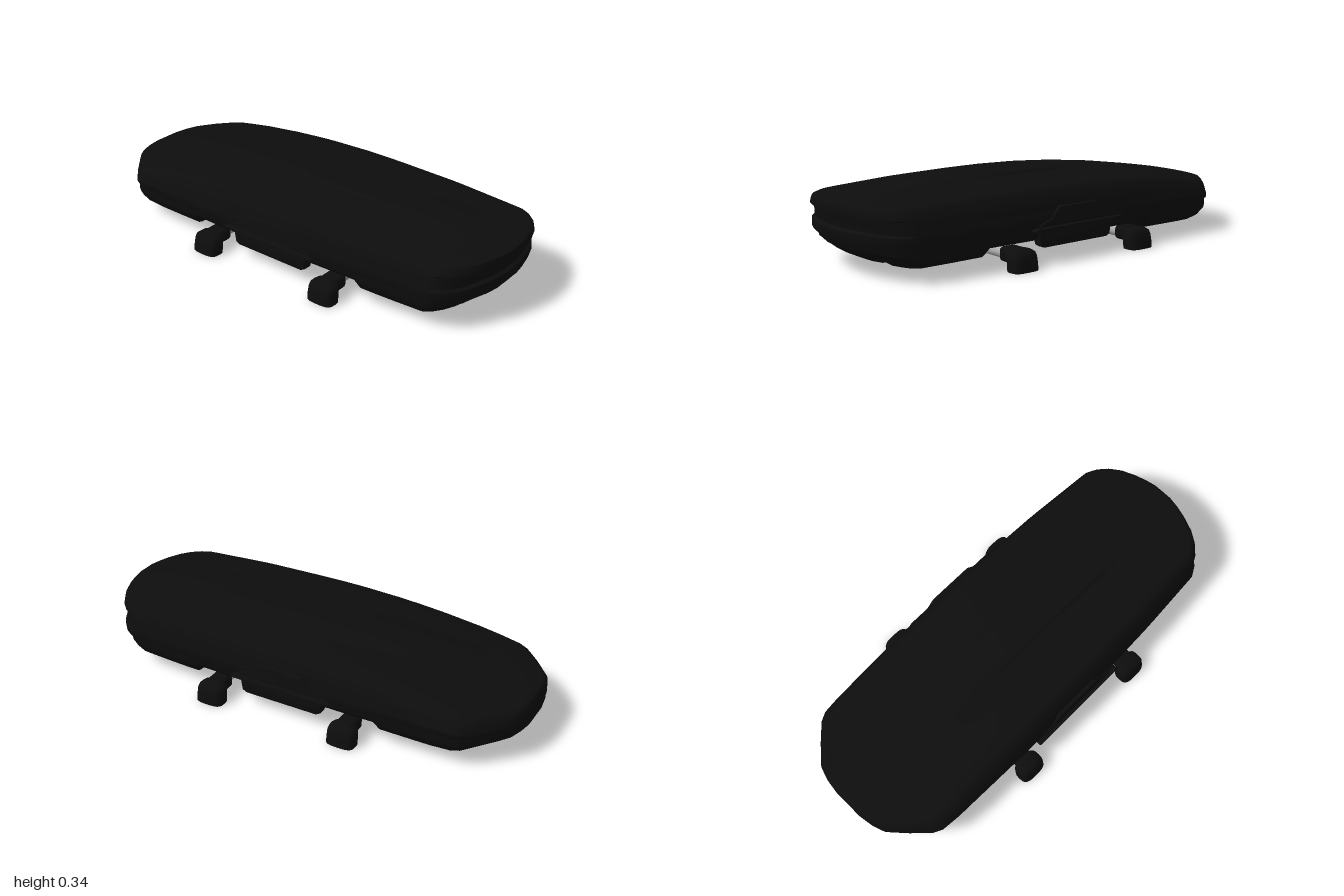
import * as THREE from 'three';
import { toCreasedNormals } from 'three/addons/utils/BufferGeometryUtils.js';
import { RoundedBoxGeometry } from 'three/addons/geometries/RoundedBoxGeometry.js';

// Linear interpolation through [x, value] pairs
function table(pts) {
  return (x) => {
    if (x <= pts[0][0]) return pts[0][1];
    for (let i = 1; i < pts.length; i++) {
      const [x0, a] = pts[i - 1], [x1, b] = pts[i];
      if (x <= x1) return a + (b - a) * (x - x0) / (x1 - x0);
    }
    return pts[pts.length - 1][1];
  };
}

const SEAM = 0.15;
const halfWidth = table([[-1, 0.07], [-0.99, 0.14], [-0.97, 0.2], [-0.9, 0.28], [-0.83, 0.35], [-0.79, 0.37],
  [-0.7, 0.378], [-0.3, 0.388], [0.1, 0.388], [0.5, 0.374], [0.84, 0.352], [0.88, 0.33], [0.92, 0.29],
  [0.95, 0.24], [0.975, 0.17], [0.99, 0.11], [1, 0.05]]);
const topHeight = table([[-1, 0.218], [-0.9, 0.24], [-0.8, 0.257], [-0.6, 0.288], [-0.4, 0.31], [-0.2, 0.324],
  [0, 0.331], [0.2, 0.332], [0.5, 0.329], [0.8, 0.317], [1, 0.306]]);
const ridgeFade = table([[-0.75, 0], [-0.2, 0.006], [-0.12, 0.011], [0.5, 0.01], [0.88, 0]]);
const floorHeight = table([[-1, 0.075], [-0.92, 0.065], [-0.8, 0.048], [-0.45, 0.054], [-0.42, 0.087],
  [0.45, 0.087], [0.48, 0.054], [0.8, 0.048], [0.9, 0.06]]);
const groove = table([[0.03, 0.016], [0.045, 0], [0.12, 0], [0.135, 0.009], [0.19, 0.009], [0.205, 0]]);

const topAt = (x, z) => topHeight(x) - 0.02 * (z / 0.33) ** 2 + (Math.abs(z) < 0.08 ? ridgeFade(x) : 0);
const floorAt = (x, z) => floorHeight(x) + groove(Math.abs(z)) * (x > -0.45 && x < 0.48 ? 0.4 : 1);

// Stations along the length, packed closer at the ends and at the floor steps
const stations = [-1, -0.99, -0.97, -0.935, -0.9, -0.865, -0.83, -0.81, -0.79, -0.75, -0.7, -0.6, -0.5, -0.45, -0.42,
  -0.3, -0.2, -0.12, 0, 0.1, 0.2, 0.3, 0.4, 0.45, 0.48, 0.55, 0.65, 0.75, 0.8, 0.84, 0.86, 0.88, 0.9, 0.92, 0.935,
  0.95, 0.965, 0.975, 0.985, 0.99, 1];

// Stack closed plan outlines; ring = { w: width scale, z: width limit, front, rear: end positions, y(x, z) }
function shell(rings) {
  const pos = [], idx = [], n = stations.length * 2;
  for (const r of rings) {
    for (let k = 0; k < n; k++) {
      const side = k < n / 2 ? 1 : -1;
      const s = stations[side > 0 ? k : n - 1 - k];
      const end = s < 0 ? r.front : r.rear;
      const x = Math.abs(s) < 0.6 ? s : Math.sign(s) * (0.6 + (Math.abs(s) - 0.6) * (end - 0.6) / 0.4);
      const z = side * Math.min(halfWidth(s) * r.w, r.z ?? 1);
      pos.push(x, r.y(x, z), z);
    }
  }
  for (let r = 0; r < rings.length - 1; r++) {
    for (let k = 0; k < n; k++) {
      const a = r * n + k, b = r * n + (k + 1) % n;
      idx.push(a, b, b + n, a, b + n, a + n);
    }
  }
  const g = new THREE.BufferGeometry();
  g.setAttribute('position', new THREE.Float32BufferAttribute(pos, 3));
  g.setIndex(idx);
  return toCreasedNormals(g, 0.5);
}

function baseGeometry() {
  const rings = [0, 0.03, 0.045, 0.12, 0.135, 0.19, 0.205, 0.27].map((z) =>
    ({ w: 0.82, z, front: 0.82, rear: 0.84, y: floorAt }));
  // fraction from floor to seam, width scale, front end, rear end
  for (const [f, w, front, rear] of [[0, 0.82, 0.82, 0.84], [0.06, 0.87, 0.88, 0.87], [0.22, 0.92, 0.95, 0.9],
    [0.5, 0.962, 0.995, 0.935], [0.6, 0.968, 0.998, 0.95], [1, 0.972, 0.998, 0.965]]) {
    rings.push({ w, front, rear, y: (x, z) => THREE.MathUtils.lerp(floorAt(x, z), SEAM, f) });
  }
  return shell(rings);
}

function lidGeometry() {
  const rings = [];
  // fraction from seam to crown edge, width scale, front end, rear end
  for (const [f, w, front, rear] of [[0, 0.95, 0.98, 0.95], [0, 0.99, 1, 0.978], [0.08, 1, 1, 0.983],
    [0.28, 1, 1, 0.982], [0.34, 0.99, 1, 0.968], [0.55, 0.975, 0.999, 0.972], [0.7, 0.955, 0.997, 0.978],
    [0.74, 0.945, 0.996, 0.999], [0.88, 0.915, 0.993, 1], [0.96, 0.885, 0.988, 0.998], [1, 0.85, 0.975, 0.985]]) {
    rings.push({ w, front, rear, y: (x, z) => THREE.MathUtils.lerp(SEAM, topAt(x, z), f) });
  }
  for (const z of [0.27, 0.19, 0.095, 0.079, 0.04, 0]) {
    rings.push({ w: 0.83, z, front: 0.97, rear: 0.98, y: topAt });
  }
  return shell(rings);
}

// Extrude an outline drawn in x, y, centred on its depth
function plate(points, depth, bevel) {
  const shape = new THREE.Shape(points.map(([x, y]) => new THREE.Vector2(x, y)));
  const g = new THREE.ExtrudeGeometry(shape, { depth: depth - 2 * bevel, bevelSize: bevel, bevelThickness: bevel,
    bevelOffset: -bevel, bevelSegments: 2 });
  g.translate(0, 0, -depth / 2 + bevel);
  return toCreasedNormals(g, 0.6);
}

// Rounded foot: stacked superellipses, closed at the top and bottom
function footGeometry() {
  const levels = [[0, 0, 0.422], [0, 0.042, 0.422], [0.03, 0.042, 0.419], [0.06, 0.041, 0.414], [0.075, 0.038, 0.411],
    [0.086, 0.028, 0.407], [0.09, 0.015, 0.403], [0.09, 0, 0.403]];
  const n = 28, pos = [], idx = [];
  levels.forEach(([y, r, cz], j) => {
    for (let i = 0; i < n; i++) {
      const a = i / n * Math.PI * 2, c = Math.cos(a), s = Math.sin(a);
      pos.push(Math.sign(c) * Math.abs(c) ** 0.6 * r * 1.55, y, cz - Math.sign(s) * Math.abs(s) ** 0.6 * r);
      if (j < levels.length - 1) {
        const p = j * n + i, q = j * n + (i + 1) % n;
        idx.push(p, q, q + n, p, q + n, p + n);
      }
    }
  });
  const g = new THREE.BufferGeometry();
  g.setAttribute('position', new THREE.Float32BufferAttribute(pos, 3));
  g.setIndex(idx);
  return toCreasedNormals(g, 0.7);
}

export function createModel() {
  const black = new THREE.MeshStandardMaterial({ color: 0x0d0d0d });
  black.name = 'black plastic';
  const metal = new THREE.MeshStandardMaterial({ color: 0xb0b0b0 });
  metal.name = 'grey metal';

  const model = new THREE.Group();
  model.name = 'roofBox';
  const add = (parent, name, geometry, material, x = 0, y = 0, z = 0) => {
    const m = new THREE.Mesh(geometry, material);
    m.name = name;
    m.position.set(x, y, z);
    parent.add(m);
    return m;
  };

  // Two-part box
  add(model, 'base', baseGeometry(), black);
  add(model, 'lid', lidGeometry(), black);

  // Crossbars under the floor
  const bar = new THREE.CylinderGeometry(0.028, 0.028, 0.68, 24).rotateX(Math.PI / 2);
  for (const x of [-0.31, 0.345]) add(model, 'crossbar', bar, metal, x, 0.058, 0);

  // Fittings on both long sides
  const foot = footGeometry();
  const neck = new RoundedBoxGeometry(0.085, 0.062, 0.1, 3, 0.018);
  const latch = plate([[-0.2, 0.16], [-0.17, 0.175], [-0.13, 0.19], [-0.09, 0.235], [0.13, 0.235], [0.17, 0.195],
    [0.21, 0.175], [0.25, 0.16]], 0.04, 0.006);
  const handle = plate([[-0.23, 0.143], [-0.22, 0.154], [0.26, 0.154], [0.27, 0.143]], 0.04, 0.003);
  const pod = plate([[-0.19, 0.14], [-0.18, 0.075], [-0.16, 0.064], [0.19, 0.064], [0.21, 0.075], [0.22, 0.14]],
    0.05, 0.008);
  for (const side of [1, -1]) {
    const fittings = new THREE.Group();
    fittings.name = side > 0 ? 'frontSideFittings' : 'backSideFittings';
    for (const x of [-0.31, 0.345]) {
      add(fittings, 'foot', foot, black, x);
      add(fittings, 'footNeck', neck, black, x, 0.058, 0.362);
    }
    add(fittings, 'latchHousing', latch, black, 0, 0, 0.375);
    add(fittings, 'handle', handle, black, 0, 0, 0.388);
    add(fittings, 'latchPod', pod, black, 0, 0, 0.357);
    if (side < 0) fittings.rotation.y = Math.PI;
    // Keep lengthwise positions the same on the turned side
    if (side < 0) for (const m of fittings.children) {
      m.position.x = m.name === 'foot' || m.name === 'footNeck' ? -m.position.x : -0.03;
    }
    model.add(fittings);
  }
  return model;
}
